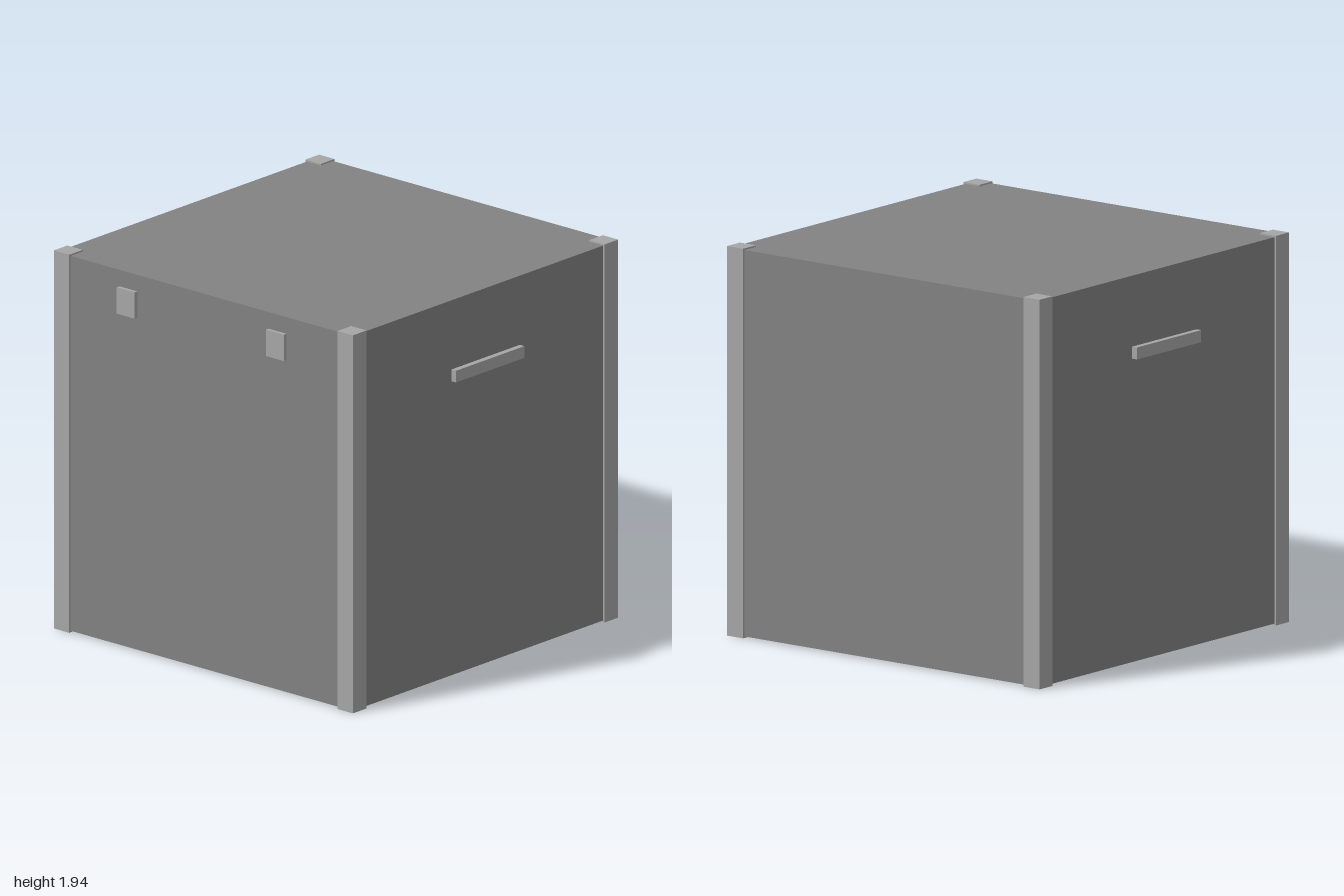
import * as THREE from 'three';

export function createModel() {
  const group = new THREE.Group();
  group.name = 'crate';
  const panel = new THREE.MeshStandardMaterial({ name: 'panel grey', color: 0x828282 });
  const trim = new THREE.MeshStandardMaterial({ name: 'trim grey', color: 0xa6a6a6 });
  const cz = -0.012; // crate centre, set back to balance the latches
  const height = 1.936;

  const box = (name, material, w, h, d, x, y, z) => {
    const mesh = new THREE.Mesh(new THREE.BoxGeometry(w, h, d), material);
    mesh.name = name;
    mesh.position.set(x, y, z);
    group.add(mesh);
  };

  // Main body, slightly inset from the corner posts
  box('body', panel, 1.92, 1.92, 1.92, 0, height / 2, cz);

  for (const [side, sx] of [['left', 1], ['right', -1]]) {
    // Corner posts
    for (const [end, sz] of [['Front', 1], ['Back', -1]]) {
      box(side + end + 'Post', trim, 0.1, height, 0.1, sx * 0.92, height / 2, cz + sz * 0.92);
    }
    // Side handle and front latch
    box(side + 'Handle', trim, 0.03, 0.06, 0.5, sx * 0.985, 1.549, cz);
    box(side + 'Latch', trim, 0.116, 0.135, 0.02, sx * 0.484, 1.781, 0.97);
  }

  return group;
}
